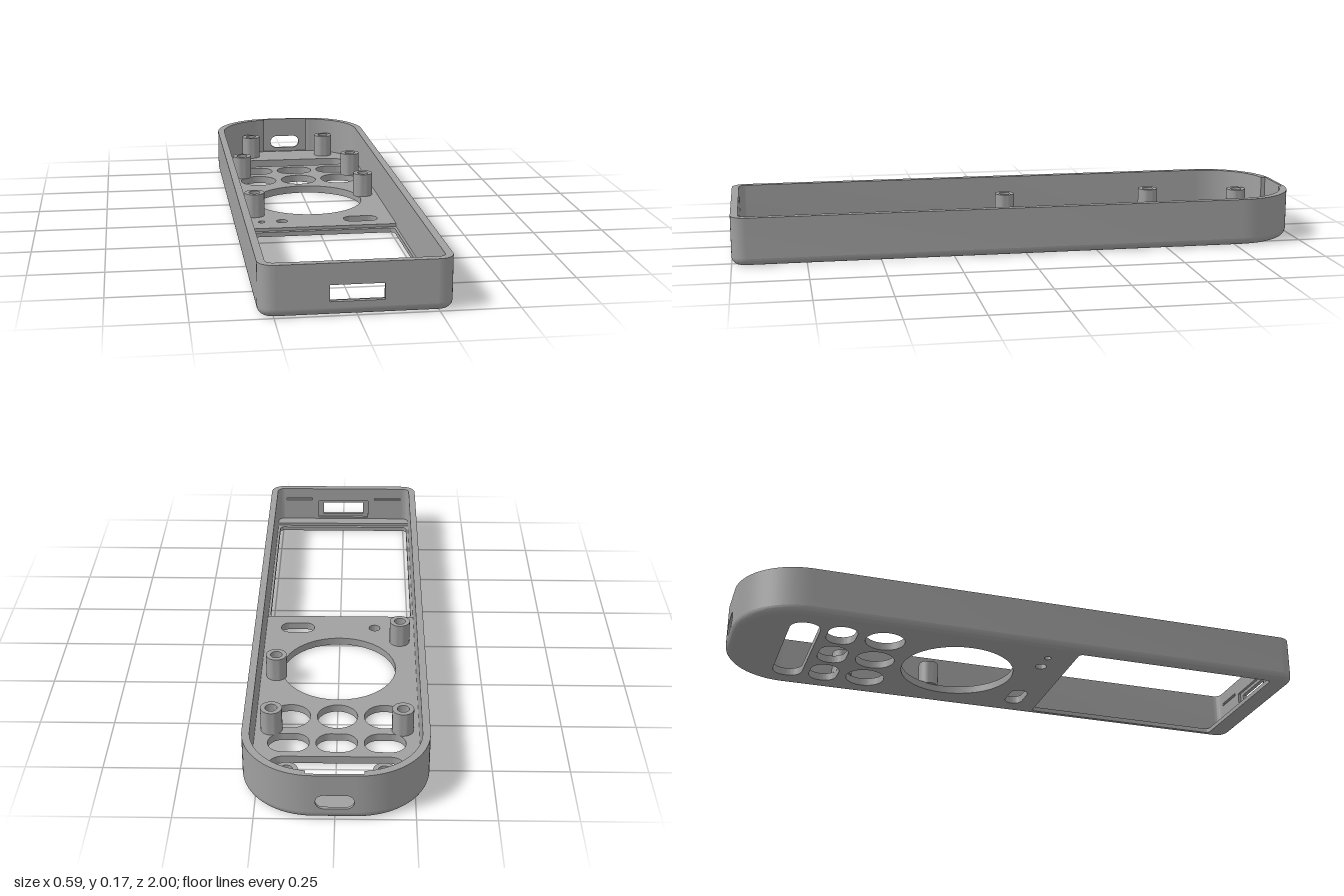
import * as THREE from 'three';
import { toCreasedNormals } from 'three/addons/utils/BufferGeometryUtils.js';

const W = 0.297, H = 0.165, T = 0.025, FLOOR = 0.027, POCKET = 0.016;
const BACK_R = 0.23, FRONT_R = 0.05;

// Half of the plan outline (+x side, back to front), inset by d, as [x, z]
function halfOutline(d) {
  const pts = [];
  const arc = (cx, cz, r, from, n) => {
    for (let i = 0; i <= n; i++) {
      const a = from + (i / n) * Math.PI / 2;
      pts.push([cx + r * Math.cos(a), cz + r * Math.sin(a)]);
    }
  };
  arc(W - BACK_R, BACK_R - 1, BACK_R - d, -Math.PI / 2, 24);
  arc(W - FRONT_R, 1 - FRONT_R, FRONT_R - d, 0, 8);
  return pts;
}
const mirrored = (pts) => pts.concat(pts.map(([x, z]) => [-x, z]).reverse());
const outline = (d) => mirrored(halfOutline(d));

// Plan shape from [x, z] points (shape y is -z)
const planShape = (pts) => new THREE.Shape(pts.map(([x, z]) => new THREE.Vector2(x, -z)));

// Rounded rectangle path centred on (cx, cy)
function roundRect(cx, cy, hw, hh, r) {
  const p = new THREE.Path();
  p.moveTo(cx + hw, cy - hh + r);
  p.absarc(cx + hw - r, cy + hh - r, r, 0, Math.PI / 2);
  p.absarc(cx - hw + r, cy + hh - r, r, Math.PI / 2, Math.PI);
  p.absarc(cx - hw + r, cy - hh + r, r, Math.PI, Math.PI * 1.5);
  p.absarc(cx + hw - r, cy - hh + r, r, Math.PI * 1.5, Math.PI * 2);
  return p;
}
function rect(x0, x1, y0, y1, Type = THREE.Path) {
  return new Type([[x0, y0], [x1, y0], [x1, y1], [x0, y1]].map((p) => new THREE.Vector2(...p)));
}
function circle(cx, cy, r) {
  const p = new THREE.Path();
  p.absarc(cx, cy, r, 0, Math.PI * 2);
  return p;
}

function extrude(shape, depth) {
  const g = new THREE.ExtrudeGeometry(shape, { depth, bevelEnabled: false, curveSegments: 20 });
  return toCreasedNormals(g, 0.5);
}
// Horizontal slab between two heights
const slab = (shape, y0, y1) => extrude(shape, y1 - y0).rotateX(-Math.PI / 2).translate(0, y0, 0);

// Button, dial and indicator openings in the floor
function faceHoles() {
  const holes = [
    roundRect(0, 0.768, 0.22, 0.052, 0.048),
    circle(0, 0.19, 0.2),
    circle(-0.2, -0.083, 0.012),
    circle(-0.127, -0.083, 0.02),
    roundRect(0.156, -0.083, 0.061, 0.032, 0.031),
  ];
  for (const x of [-0.158, 0, 0.158]) {
    holes.push(roundRect(x, 0.64, 0.068, 0.05, 0.048), circle(x, 0.49, 0.068));
  }
  return holes;
}

// Rounded bottom edge: a closed quarter-round section swept round the outline
function bottomEdge() {
  const section = [];
  for (let i = 0; i <= 8; i++) {
    const a = (i / 8) * Math.PI / 2;
    section.push([T - T * Math.sin(a), T - T * Math.cos(a)]);
  }
  section.push([T, T], [T, 0]);
  const n = outline(0).length, pos = [], idx = [];
  for (const [d, y] of section) for (const [x, z] of outline(d)) pos.push(x, y, z);
  for (let j = 0; j < section.length - 1; j++) {
    for (let i = 0; i < n; i++) {
      const k = (i + 1) % n;
      const a = j * n + i, b = j * n + k, c = a + n, e = b + n;
      idx.push(a, c, b, b, c, e);
    }
  }
  const g = new THREE.BufferGeometry();
  g.setAttribute('position', new THREE.Float32BufferAttribute(pos, 3));
  g.setIndex(idx);
  return toCreasedNormals(g, 0.6);
}

export function createModel() {
  const model = new THREE.Group();
  const grey = new THREE.MeshStandardMaterial({ color: 0xa0a0a0 });
  grey.name = 'shell grey';
  const add = (name, geometry) => {
    const m = new THREE.Mesh(geometry, grey);
    m.name = name;
    model.add(m);
    return m;
  };

  add('bottomEdge', bottomEdge());

  // Lower floor layer with every opening and the display window
  const lower = planShape(outline(T));
  lower.holes.push(...faceHoles(), roundRect(0, -0.548, 0.263, 0.368, 0.015));
  add('lowerFloor', slab(lower, 0, POCKET));

  // Upper floor layer stops short of the display pocket
  const upperHalf = halfOutline(T).filter(([, z]) => z < 0);
  upperHalf.push([W - T, 0.165]);
  const upper = planShape(mirrored(upperHalf));
  upper.holes.push(...faceHoles());
  add('upperFloor', slab(upper, POCKET, FLOOR));
  add('frontLedge', slab(planShape([[-0.272, 0.93], [0.272, 0.93], [0.272, 0.977], [-0.272, 0.977]]), POCKET, FLOOR));

  // Side walls, each running from the back panel to the front panel
  const flatX = W - BACK_R, portX = W - FRONT_R, notchX = 0.09;
  const inner = halfOutline(T).filter(([x, z]) => z > -0.9 || x > notchX).reverse();
  for (const s of [1, -1]) {
    const pts = [...halfOutline(0), ...inner, [notchX, T - 1], [notchX, -0.99], [flatX, -0.99]];
    const wall = planShape(pts.map(([x, z]) => [s * x, z]));
    add(s > 0 ? 'leftWall' : 'rightWall', slab(wall, T, H));
  }

  // Thin back panel with the emitter slot
  const back = rect(-flatX, flatX, T, H, THREE.Shape);
  back.holes.push(roundRect(0, 0.065, 0.06, 0.025, 0.0249));
  add('backPanel', extrude(back, 0.01).translate(0, 0, -1));

  // Front panel: outer skin with the port, inner skin with its recess and clip grooves
  const outer = rect(-portX, portX, T, H, THREE.Shape);
  outer.holes.push(rect(-0.083, 0.083, 0.045, 0.097));
  add('frontPanelOuter', extrude(outer, 0.015).translate(0, 0, 0.985));
  const innerSkin = rect(-portX, portX, T, H, THREE.Shape);
  innerSkin.holes.push(
    rect(-0.103, 0.103, 0.033, 0.109),
    rect(0.13, 0.237, 0.112, 0.122),
    rect(-0.237, -0.13, 0.112, 0.122),
  );
  add('frontPanelInner', extrude(innerSkin, 0.01).translate(0, 0, 0.975));

  // Screw bosses with blind holes
  const profile = [[0, FLOOR - 0.002], [0.036, FLOOR - 0.002], [0.036, 0.112], [0.02, 0.112], [0.02, 0.04], [0, 0.04]];
  const boss = toCreasedNormals(
    new THREE.LatheGeometry(profile.map((p) => new THREE.Vector2(...p)), 28), 0.5);
  const spots = [[-0.152, -0.897], [0.152, -0.897], [-0.217, -0.565], [0.217, -0.565], [0.217, -0.24], [-0.217, -0.008]];
  for (const [x, z] of spots) add('screwBoss', boss).position.set(x, 0, z);

  return model;
}
